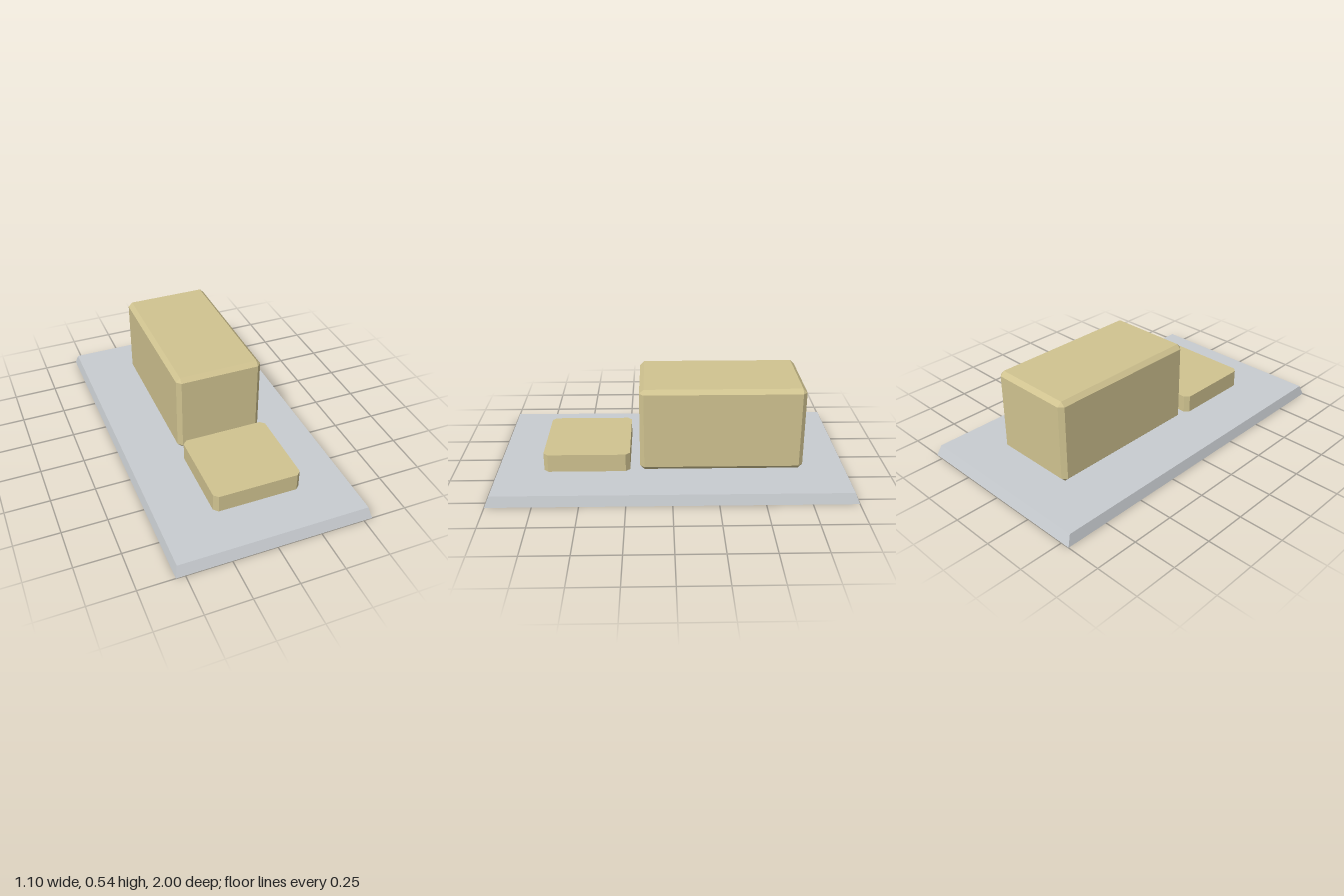
import * as THREE from 'three';
import { ConvexGeometry } from 'three/addons/geometries/ConvexGeometry.js';

// Octagonal ring: a rectangle with its four corners cut by c
function ring(w, d, c, y) {
  const points = [];
  for (const sx of [-1, 1]) for (const sz of [-1, 1]) {
    points.push(new THREE.Vector3(sx * (w / 2 - c), y, sz * d / 2));
    points.push(new THREE.Vector3(sx * w / 2, y, sz * (d / 2 - c)));
  }
  return points;
}

// Plain rectangle at height y
function rect(w, d, y) {
  const points = [];
  for (const sx of [-1, 1]) for (const sz of [-1, 1])
    points.push(new THREE.Vector3(sx * w / 2, y, sz * d / 2));
  return points;
}

export function createModel() {
  const group = new THREE.Group();
  const grey = new THREE.MeshStandardMaterial({ name: 'paleGrey', color: 0xc8ccd0 });
  const sand = new THREE.MeshStandardMaterial({ name: 'sand', color: 0xd0c390 });

  const add = (name, points, material, x = 0, z = 0) => {
    const mesh = new THREE.Mesh(new ConvexGeometry(points), material);
    mesh.name = name;
    mesh.position.set(x, 0, z);
    group.add(mesh);
  };

  // Base plate with sloping sides
  add('basePlate', [...rect(1.1, 2, 0), ...rect(1.07, 1.95, 0.06)], grey);

  // Tall block, chamfered on every edge
  const w = 0.5, d = 0.914, c = 0.024, bottom = 0.062, top = 0.543;
  add('tallBlock', [
    ...rect(w - 2 * c, d - 2 * c, bottom),
    ...ring(w, d, c, bottom + c),
    ...ring(w, d, c, top - c),
    ...rect(w - 2 * c, d - 2 * c, top),
  ], sand, 0.018, -0.28);

  // Low block, with only the upright edges cut
  add('lowBlock', [...ring(0.5, 0.482, c, bottom), ...ring(0.5, 0.482, c, 0.165)], sand, 0.018, 0.474);

  return group;
}
